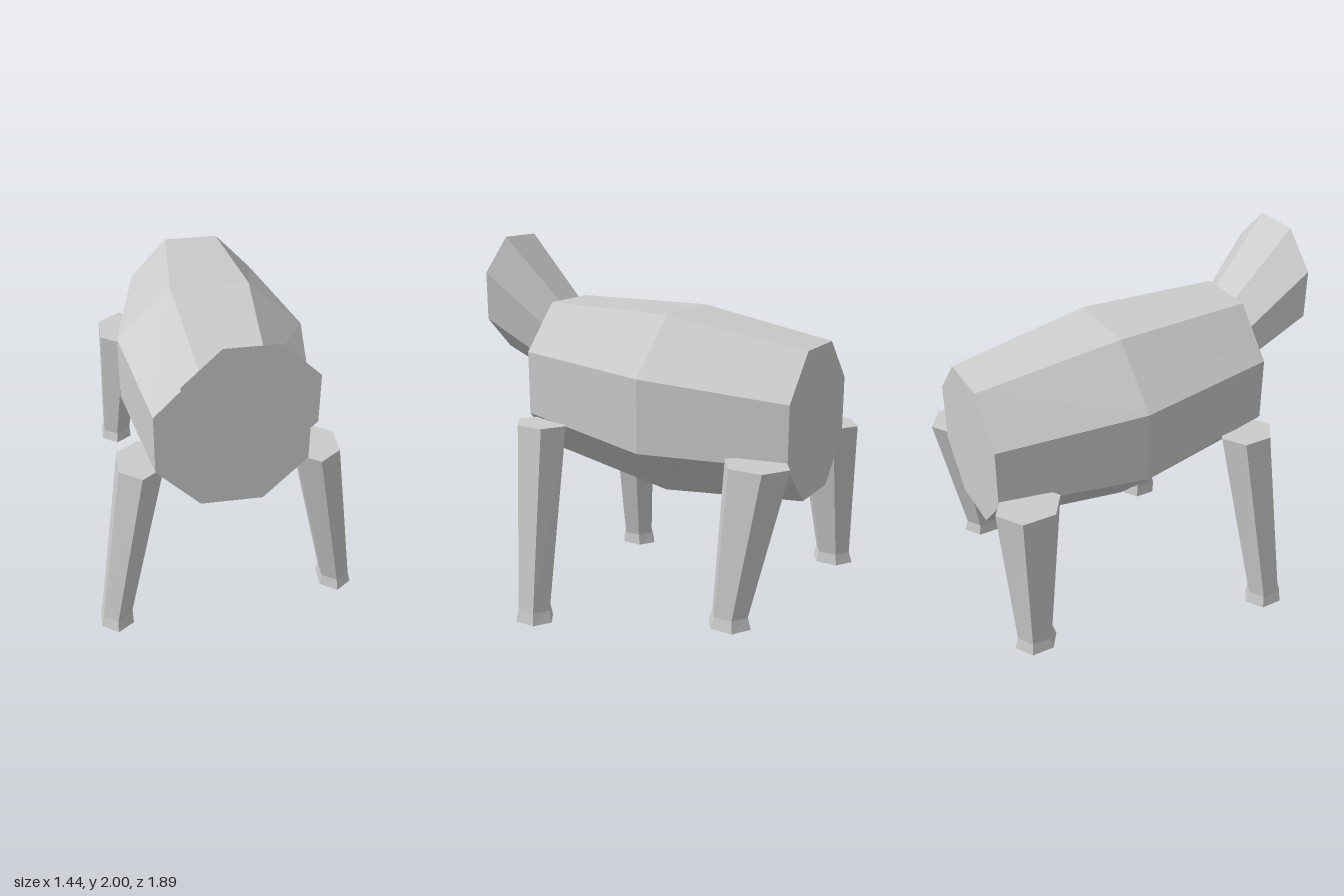
import * as THREE from 'three';

// Skin a row of equal-sized rings (clockwise seen from the first end) and cap both ends.
function loft(rings) {
  const pos = [];
  const tri = (...pts) => pts.forEach((p) => pos.push(...p));
  const n = rings[0].length;
  for (let i = 0; i < rings.length - 1; i++) {
    const a = rings[i], b = rings[i + 1];
    for (let j = 0; j < n; j++) {
      const k = (j + 1) % n;
      tri(a[j], a[k], b[k]);
      tri(a[j], b[k], b[j]);
    }
  }
  const first = rings[0], last = rings[rings.length - 1];
  for (let j = 1; j < n - 1; j++) {
    tri(first[0], first[j + 1], first[j]);
    tri(last[0], last[j], last[j + 1]);
  }
  const geo = new THREE.BufferGeometry();
  geo.setAttribute('position', new THREE.Float32BufferAttribute(pos, 3));
  geo.computeVertexNormals();
  return geo;
}

// Upright octagon: half width w, half width t of the flat top and bottom.
function octagon(z, cx, w, t, top, hi, lo, bottom) {
  const half = [[t, top], [w, hi], [w, lo], [t, bottom]];
  const other = half.map(([x, y]) => [-x, y]).reverse();
  return [...half, ...other].map(([x, y]) => [cx + x, y, z]);
}

// Level hexagon with its points along z.
function hexagon(x, y, z, halfWidth, halfDepth) {
  return Array.from({ length: 6 }, (_, i) => {
    const a = Math.PI / 6 + (i * Math.PI) / 3;
    return [x + (Math.cos(a) / Math.cos(Math.PI / 6)) * halfWidth, y, z + Math.sin(a) * halfDepth];
  });
}

export function createModel() {
  const model = new THREE.Group();
  const grey = new THREE.MeshStandardMaterial({ color: 0xcccccc });
  grey.name = 'plainGrey';

  const add = (name, rings) => {
    const mesh = new THREE.Mesh(loft(rings), grey);
    mesh.name = name;
    model.add(mesh);
  };

  // Barrel body, chest to rump
  add('body', [
    octagon(0.63, 0, 0.385, 0.16, 1.66, 1.42, 1.08, 0.84),
    octagon(-0.13, 0, 0.5, 0.207, 1.66, 1.38, 0.995, 0.72),
    octagon(-0.89, 0, 0.355, 0.15, 1.54, 1.315, 1.0, 0.775),
  ]);

  // Head flaring up and forward from the chest
  add('head', [
    octagon(0.945, 0.022, 0.307, 0.127, 2.0, 1.82, 1.565, 1.385),
    octagon(0.63, 0, 0.222, 0.092, 1.66, 1.53, 1.345, 1.22),
  ]);

  // Legs: the feet on the two sides are staggered, as in a stride
  for (const [side, s, frontZ, rearZ] of [['left', 1, 0.457, -0.68], ['right', -1, 0.575, -0.808]]) {
    add(side + 'FrontLeg', [
      hexagon(s * 0.45, 1.06, 0.5, 0.113, 0.153),
      hexagon(s * 0.628, 0.065, frontZ, 0.077, 0.098),
      hexagon(s * 0.631, 0, frontZ, 0.088, 0.117),
    ]);
    add(side + 'RearLeg', [
      hexagon(s * 0.445, 1.03, -0.772, 0.131, 0.173),
      hexagon(s * 0.518, 0.265, rearZ, 0.079, 0.098),
      hexagon(s * 0.521, 0.205, rearZ, 0.09, 0.117),
    ]);
  }
  return model;
}
